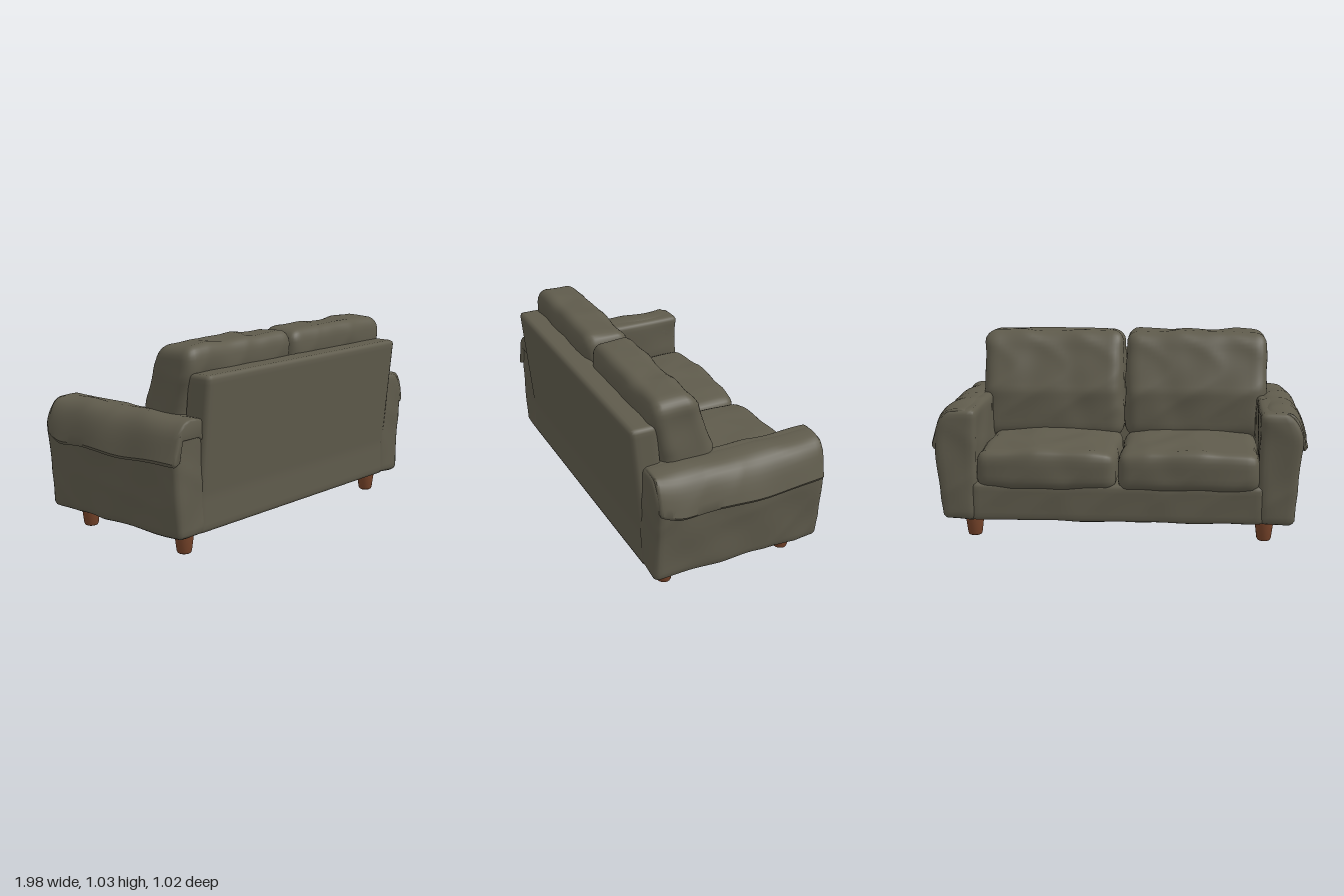
import * as THREE from 'three';
import { mergeVertices, toCreasedNormals } from 'three/addons/utils/BufferGeometryUtils.js';

const fabric = new THREE.MeshStandardMaterial({ color: 0x5f5b4c });
fabric.name = 'olive fabric';
const wood = new THREE.MeshStandardMaterial({ color: 0x77442a });
wood.name = 'brown wood';

// Soft creases: two folded waves crossing each other
function crease(x, y, z) {
  const a = Math.sin(11 * x + 7 * z + 2 * Math.sin(9 * y + 5 * z));
  const b = Math.sin(17 * z - 13 * y + 2 * Math.sin(12 * x + 3));
  return 0.5 - Math.abs(a) * 0.6 + b * 0.35;
}

// Pushes every vertex along its normal by the crease pattern
function wrinkle(geo, amp) {
  geo.computeVertexNormals();
  const p = geo.attributes.position, n = geo.attributes.normal;
  for (let i = 0; i < p.count; i++) {
    const x = p.getX(i), y = p.getY(i), z = p.getZ(i), d = amp * crease(x, y, z);
    p.setXYZ(i, x + n.getX(i) * d, y + n.getY(i) * d, z + n.getZ(i) * d);
  }
  geo.computeVertexNormals();
}

// Rounded, subdivided block between two corners, bent by a rule and wrinkled
function softBlock(name, lo, hi, radius, bend, amp = 0) {
  const size = hi.map((v, i) => v - lo[i]);
  const seg = size.map((s) => Math.max(6, Math.round(s / 0.022)));
  let geo = new THREE.BoxGeometry(...size, ...seg);
  geo.deleteAttribute('uv');
  geo.deleteAttribute('normal');
  geo = mergeVertices(geo, 1e-4);
  const p = geo.attributes.position;
  const inner = new THREE.Vector3(...size).multiplyScalar(0.5).subScalar(radius);
  const outer = inner.clone().negate();
  const centre = new THREE.Vector3(...lo).add(new THREE.Vector3(...hi)).multiplyScalar(0.5);
  const v = new THREE.Vector3(), q = new THREE.Vector3();
  for (let i = 0; i < p.count; i++) {
    v.fromBufferAttribute(p, i);
    q.copy(v).clamp(outer, inner);
    v.sub(q).setLength(radius).add(q).add(centre);
    if (bend) bend(v);
    p.setXYZ(i, v.x, v.y, v.z);
  }
  wrinkle(geo, amp);
  const mesh = new THREE.Mesh(geo, fabric);
  mesh.name = name;
  return mesh;
}

// Thick cloth draped over the arm, flaring outwards to a wavy hem
function armCover(side) {
  const s = new THREE.Shape();
  s.moveTo(0.73, 0.56);
  s.bezierCurveTo(0.72, 0.66, 0.75, 0.695, 0.81, 0.695);
  s.bezierCurveTo(0.91, 0.7, 0.95, 0.65, 0.985, 0.5);
  s.lineTo(0.975, 0.485);
  s.lineTo(0.93, 0.5);
  s.lineTo(0.9, 0.6);
  s.lineTo(0.78, 0.6);
  s.closePath();
  let geo = new THREE.ExtrudeGeometry(s, {
    depth: 0.88, steps: 40, curveSegments: 10,
    bevelEnabled: true, bevelThickness: 0.012, bevelSize: 0.008, bevelOffset: -0.008, bevelSegments: 2,
  });
  geo.translate(0, 0, -0.45);
  geo.deleteAttribute('uv');
  geo.deleteAttribute('normal');
  geo = mergeVertices(geo, 1e-4);
  const p = geo.attributes.position;
  for (let i = 0; i < p.count; i++) {
    const x = p.getX(i), y = p.getY(i), z = p.getZ(i);
    const hang = THREE.MathUtils.clamp((x - 0.85) / 0.13, 0, 1);
    const end = Math.pow(Math.abs(z) / 0.46, 3);
    p.setX(i, x - hang * 0.035 * end);
    p.setY(i, y + hang * (0.006 * Math.sin(14 * z) + 0.05 * Math.max(0, (z - 0.3) / 0.15) ** 2 * 0.6));
  }
  wrinkle(geo, 0.006);
  geo = toCreasedNormals(geo, 0.8);
  const mesh = new THREE.Mesh(geo, fabric);
  mesh.name = 'armCover';
  const group = new THREE.Group();
  group.name = side > 0 ? 'leftArmCover' : 'rightArmCover';
  group.add(mesh);
  if (side < 0) group.rotation.y = Math.PI;
  // turning the part round keeps its faces outward; the mesh is shifted to stay on the arm
  return group;
}

// Tapered foot with a rounded end
function leg(x, z) {
  const pts = [[0, 0], [0.027, 0], [0.034, 0.004], [0.038, 0.015], [0.05, 0.11], [0.05, 0.125], [0, 0.125]];
  const geo = toCreasedNormals(new THREE.LatheGeometry(pts.map((a) => new THREE.Vector2(...a)), 20), 0.7);
  const mesh = new THREE.Mesh(geo, wood);
  mesh.position.set(x, 0, z);
  mesh.name = 'leg';
  return mesh;
}

export function createModel() {
  const sofa = new THREE.Group();
  sofa.name = 'sofa';

  // Base and sloping back frame
  sofa.add(softBlock('base', [-0.75, 0.113, -0.475], [0.75, 0.31, 0.44], 0.02, null, 0.005));
  sofa.add(softBlock('backFrame', [-0.765, 0.113, 0.31], [0.765, 0.895, 0.45], 0.022, (v) => {
    v.z += 0.06 * Math.max(0, (v.y - 0.3) / 0.6);
  }));

  for (const side of [1, -1]) {
    const span = (a, b) => (side > 0 ? [a, b] : [-b, -a]);

    // Arm body, widening slightly upwards on the outside
    const [a0, a1] = span(0.725, 0.905);
    sofa.add(softBlock(side > 0 ? 'leftArm' : 'rightArm', [a0, 0.113, -0.475], [a1, 0.69, 0.452], 0.03, (v) => {
      const out = (Math.abs(v.x) - 0.725) / 0.18;
      v.x += side * out * 0.035 * Math.min(1, (v.y - 0.113) / 0.4);
      // round off the outer top edge
      const top = Math.max(0, (v.y - 0.55) / 0.14);
      v.x -= side * Math.max(0, out) * 0.07 * top * top;
    }, 0.007));
    sofa.add(armCover(side));

    // Seat cushion with a crowned top and bulging front
    const [s0, s1] = span(0.006, 0.725);
    const mid = (s0 + s1) / 2;
    sofa.add(softBlock('seatCushion', [s0, 0.285, -0.485], [s1, 0.47, 0.14], 0.05, (v) => {
      const u = (v.x - mid) / 0.36;
      if (v.y > 0.38) v.y += 0.025 * (1 - u * u) * (v.y - 0.38) / 0.09;
      if (v.z < -0.4) v.z -= 0.02 * (1 - u * u);
    }, 0.009));

    // Back cushion: leaning front, plump top
    const [b0, b1] = span(0.006, 0.785);
    sofa.add(softBlock('backCushion', [b0, 0.44, 0.1], [b1, 1.02, 0.4], 0.07, (v) => {
      const front = 0.06 + 0.36 * Math.max(0, v.y - 0.7);
      const back = 0.35 + 0.05 * THREE.MathUtils.clamp((v.y - 0.7) / 0.2, 0, 1);
      v.z = back + (0.4 - v.z) / 0.3 * (front - back);
    }, 0.011));

    for (const z of [0.335, -0.345]) sofa.add(leg(side * 0.76, z));
  }
  return sofa;
}
